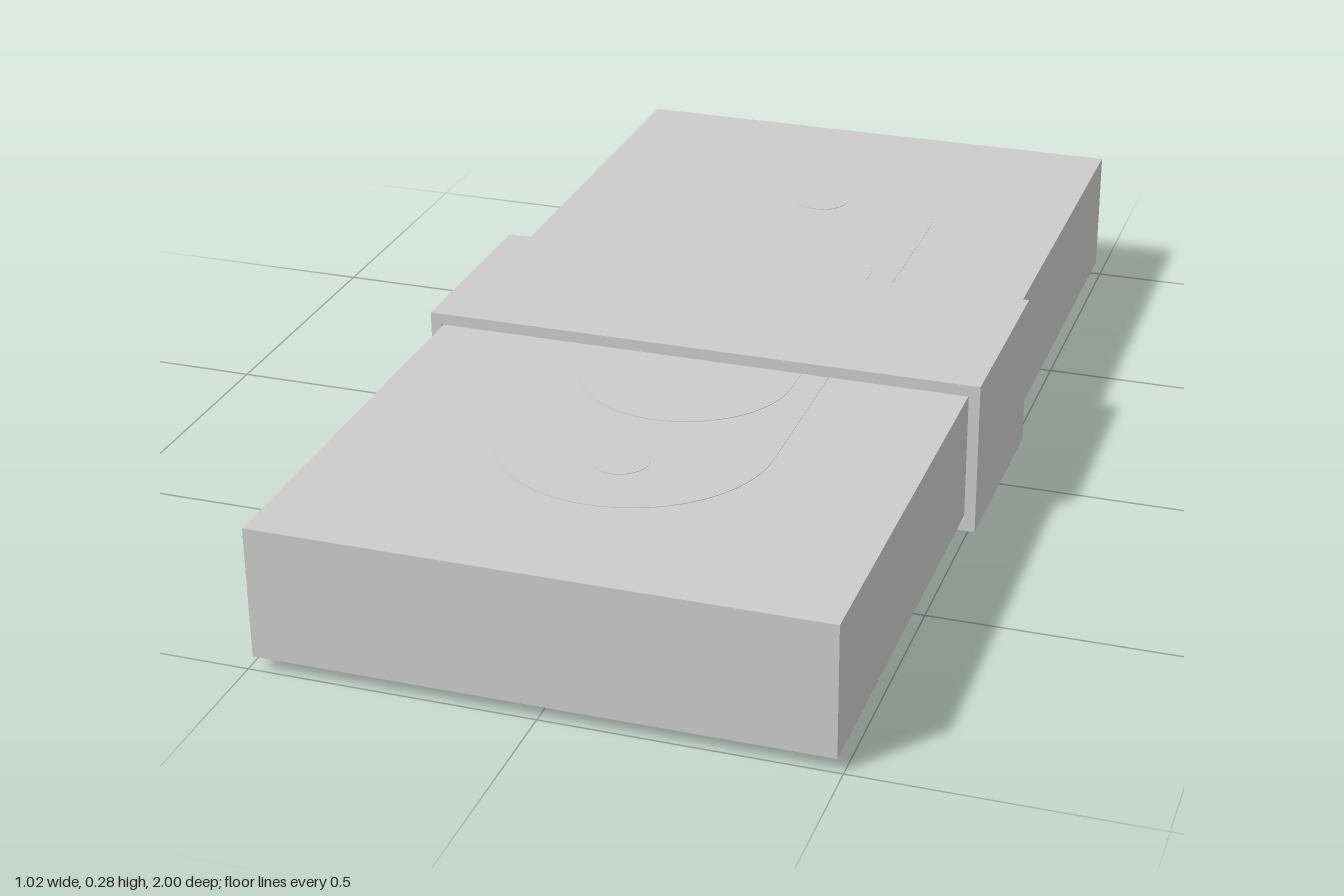
import * as THREE from 'three';

const material = new THREE.MeshStandardMaterial({ color: 0xcccccc, flatShading: true });

function add(parent, name, geometry) {
  const mesh = new THREE.Mesh(geometry, material);
  mesh.name = name;
  parent.add(mesh);
  return mesh;
}

// Long plate with two rounded ends, lying flat and centred on y = 0
function roundEndedPlate(radius, endCentre, height) {
  const shape = new THREE.Shape();
  shape.absarc(0, endCentre, radius, 0, Math.PI, false);
  shape.absarc(0, -endCentre, radius, Math.PI, Math.PI * 2, false);
  shape.closePath();
  return new THREE.ExtrudeGeometry(shape, { depth: height, bevelEnabled: false, curveSegments: 20 })
    .translate(0, 0, -height / 2)
    .rotateX(-Math.PI / 2);
}

function rectangle(path, halfWidth, bottom, top) {
  path.moveTo(-halfWidth, bottom);
  path.lineTo(halfWidth, bottom);
  path.lineTo(halfWidth, top);
  path.lineTo(-halfWidth, top);
  path.closePath();
  return path;
}

export function createModel() {
  const model = new THREE.Group();
  model.name = 'boxWithSleeve';
  const bottom = 0.025, top = 0.26, sleeveDepth = 0.386;

  // Main slab
  add(model, 'box', new THREE.BoxGeometry(0.98, top - bottom, 2))
    .position.y = (top + bottom) / 2;

  // Hollow sleeve wrapped round the middle
  const band = rectangle(new THREE.Shape(), 0.512, 0, 0.284);
  band.holes.push(rectangle(new THREE.Path(), 0.492, 0.022, 0.263));
  add(model, 'sleeve', new THREE.ExtrudeGeometry(band, { depth: sleeveDepth, bevelEnabled: false }))
    .position.z = -sleeveDepth / 2;

  // Very shallow raised inlays on both broad faces
  for (const [side, y] of [['top', top], ['bottom', bottom]]) {
    const inlay = new THREE.Group();
    inlay.name = side + 'Inlay';
    inlay.position.y = y;
    add(inlay, 'outerPlate', roundEndedPlate(0.24, 0.52, 0.002));
    add(inlay, 'innerPlate', roundEndedPlate(0.19, 0.25, 0.004));
    for (const z of [-0.6, 0.6]) {
      add(inlay, 'stud', new THREE.CylinderGeometry(0.05, 0.05, 0.004, 24)).position.z = z;
    }
    model.add(inlay);
  }
  return model;
}
